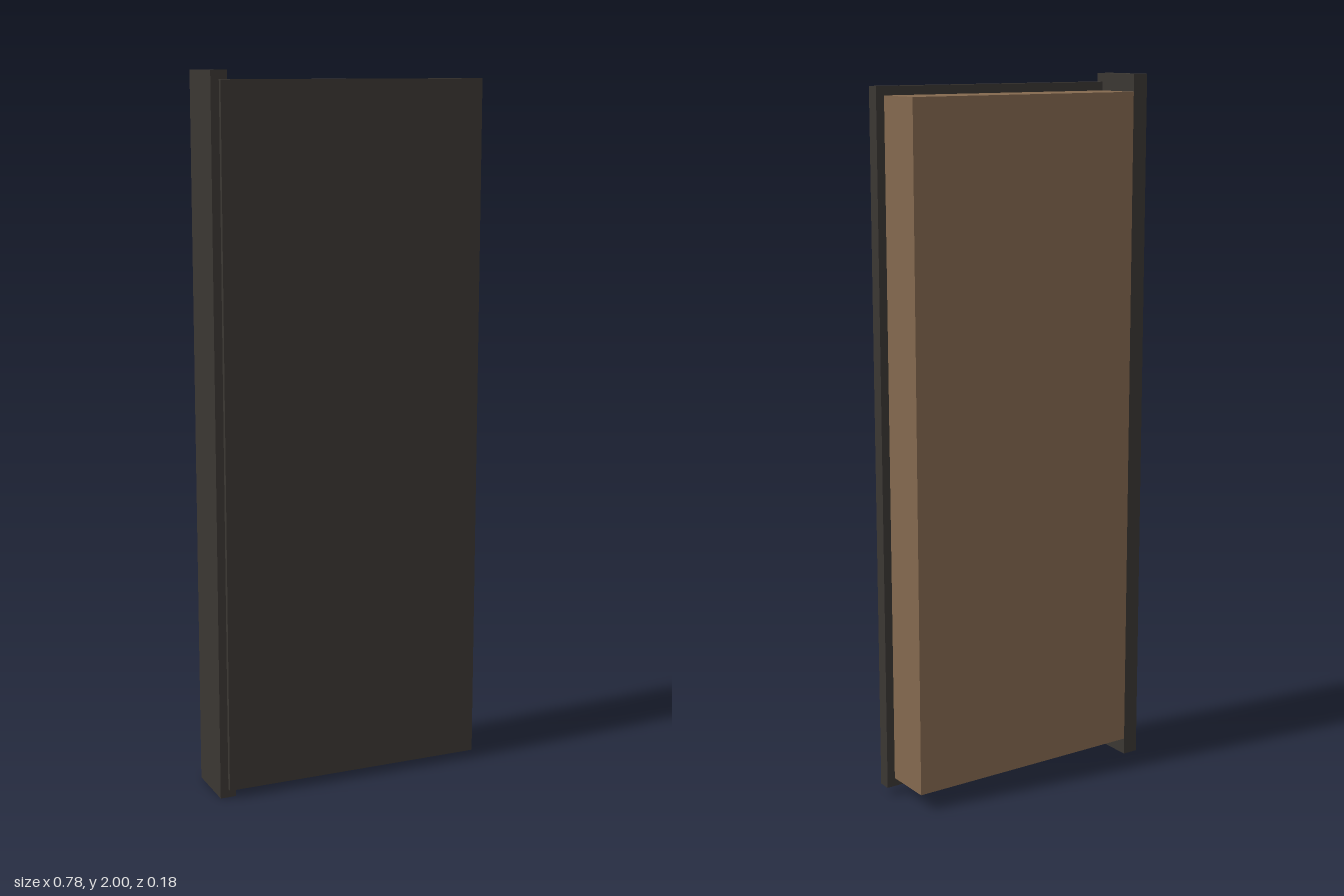
import * as THREE from 'three';

// Box spanning the given [min, max] ranges on each axis
function slab(name, material, [x0, x1], [y0, y1], [z0, z1]) {
  const mesh = new THREE.Mesh(new THREE.BoxGeometry(x1 - x0, y1 - y0, z1 - z0), material);
  mesh.position.set((x0 + x1) / 2, (y0 + y1) / 2, (z0 + z1) / 2);
  mesh.name = name;
  return mesh;
}

export function createModel() {
  const group = new THREE.Group();
  group.name = 'doorPanel';

  const dark = new THREE.MeshStandardMaterial({ color: 0x3b3733 });
  const wood = new THREE.MeshStandardMaterial({ color: 0x84694f });

  group.add(
    // Full-height edge post
    slab('edgePost', dark, [-0.392, -0.346], [0, 2], [-0.089, 0.076]),
    // Thin front facing, lapping over the post
    slab('frontPanel', dark, [-0.369, 0.392], [0.024, 1.976], [0.053, 0.089]),
    // Thick wooden core behind the facing
    slab('woodenCore', wood, [-0.346, 0.368], [0.048, 1.952], [-0.089, 0.053])
  );
  return group;
}
